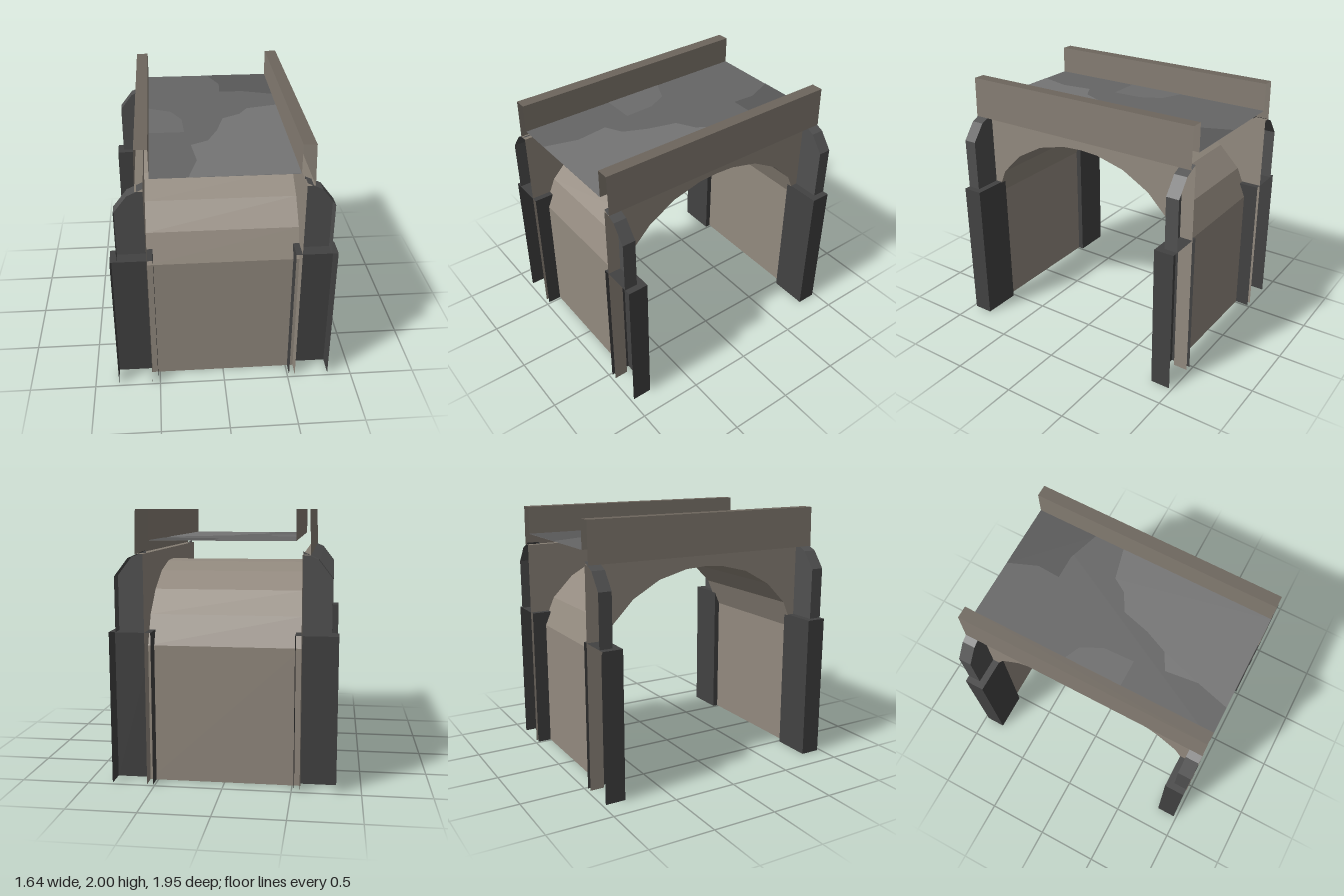
import * as THREE from 'three';

const END = 0.976; // half length, both ends are open
const WALL = 0.56; // half width between the side walls
const DECK = 1.785; // road height

const paint = (color) => new THREE.MeshStandardMaterial({ color, side: THREE.DoubleSide });
const stone = paint(0x938a7f);
const parapetStone = paint(0x857d73);
const copingStone = paint(0x6d665d);
const postStone = paint(0x424242);
const pillarStone = paint(0x505050);
const asphalt = paint(0x666666);
const asphaltLight = paint(0x757575);
const asphaltDark = paint(0x595959);
const asphaltWorn = paint(0x6c6c6c);

// Open flat-shaded strip: a path of [x, y, z] points swept by a vector
function sweep(path, vector) {
  const positions = [];
  const index = [];
  path.forEach((p, i) => {
    positions.push(...p, ...p.map((value, k) => value + vector[k]));
    if (i === path.length - 1) return;
    const a = i * 2;
    index.push(a, a + 2, a + 3, a, a + 3, a + 1);
  });
  const shared = new THREE.BufferGeometry();
  shared.setAttribute('position', new THREE.Float32BufferAttribute(positions, 3));
  shared.setIndex(index);
  const geometry = shared.toNonIndexed();
  geometry.computeVertexNormals();
  return geometry;
}

function flatShape(points) {
  return new THREE.ShapeGeometry(new THREE.Shape(points.map(([x, y]) => new THREE.Vector2(x, y))));
}

function add(parent, name, geometry, material) {
  const mesh = new THREE.Mesh(geometry, material);
  mesh.name = name;
  parent.add(mesh);
}

export function createModel() {
  const model = new THREE.Group();
  model.name = 'bridgeSection';

  // Arch profile as [z, y], from the +z foot over the crown to the -z foot
  const half = [[0.865, 0], [0.865, 1.02], [0.77, 1.238], [0.602, 1.407], [0.385, 1.529], [0.155, 1.588]];
  const arch = [...half, [0, 1.597], ...half.map(([z, y]) => [-z, y]).reverse()];
  add(model, 'archBarrel', sweep(arch.map(([z, y]) => [-WALL, y, z]), [2 * WALL, 0, 0]), stone);

  // Side walls and parapets, one set per side
  for (const side of [1, -1]) {
    const flank = new THREE.Group();
    flank.name = side > 0 ? 'leftFlank' : 'rightFlank';
    flank.rotation.y = side > 0 ? 0 : Math.PI;
    model.add(flank);

    const wall = flatShape([[-END, 0], ...arch.slice().reverse(), [END, 0], [END, 1.69], [-END, 1.69]]);
    add(flank, 'archWall', wall.rotateY(Math.PI / 2).translate(WALL, 0, 0), stone);

    // Parapet sections as [x, y], hollow and open at the ends
    const rail = (name, points, material) =>
      add(flank, name, sweep(points.map(([x, y]) => [x, y, -END]), [0, 0, 2 * END]), material);
    rail('parapetOuter', [[WALL, 1.69], [0.617, 1.69], [0.608, 2]], parapetStone);
    rail('parapetTop', [[0.608, 2], [0.515, 2]], copingStone);
    rail('parapetInner', [[0.515, 2], [0.515, DECK]], parapetStone);
  }

  // Road deck with worn patches, drawn as [x, z]
  const deckPart = (name, points, y, material) => {
    const geometry = flatShape(points.map(([x, z]) => [x, -z]));
    add(model, name, geometry.rotateX(-Math.PI / 2).translate(0, y, 0), material);
  };
  deckPart('deck', [[-0.515, -END], [0.515, -END], [0.515, END], [-0.515, END]], DECK, asphalt);
  const top = DECK + 0.002;
  deckPart('lightPatch', [[-0.25, END], [-0.18, 0.72], [-0.21, 0.47], [-0.08, 0.4], [0, 0.22], [0.06, 0],
    [0.2, -0.08], [0.27, -0.19], [0.515, -0.25], [0.515, END]], top, asphaltLight);
  deckPart('darkPatch', [[0, -END], [0.09, -0.75], [0.08, -0.57], [0.27, -0.57], [0.515, -0.49],
    [0.515, -END]], top, asphaltDark);
  deckPart('sidePatch', [[-0.515, -0.24], [-0.34, -0.16], [-0.26, 0], [-0.25, 0.24], [-0.515, 0.24]],
    top, asphaltWorn);

  // Corner buttresses: hollow post below, narrower sloped pillar above
  const postPlan = [[0.82, 0, END], [0.82, 0, 0.82], [0.515, 0, 0.82], [0.515, 0, END]];
  const pillarOutline = [[0.77, 1.13], [0.77, 1.53], [0.67, 1.66], [WALL, 1.71]];
  for (const sx of [1, -1]) {
    for (const sz of [1, -1]) {
      const buttress = new THREE.Group();
      buttress.name = (sz > 0 ? 'front' : 'back') + (sx > 0 ? 'Left' : 'Right') + 'Buttress';
      buttress.scale.set(sx, 1, sz);
      model.add(buttress);

      add(buttress, 'post', sweep(postPlan, [0, 1.13, 0]), postStone);
      add(buttress, 'postTop', sweep([[0.82, 1.13, 0.82], [0.515, 1.13, 0.82]], [0, 0, END - 0.82]), postStone);

      const edge = pillarOutline.map(([x, y]) => [x, y, 0.875]);
      add(buttress, 'pillarEdge', sweep(edge, [0, 0, END - 0.875]), pillarStone);
      const face = flatShape([...pillarOutline, [WALL, 1.13]].map(([x, y]) => [-x, y]));
      add(buttress, 'pillarFace', face.rotateY(Math.PI).translate(0, 0, 0.875), pillarStone);
    }
  }
  return model;
}
